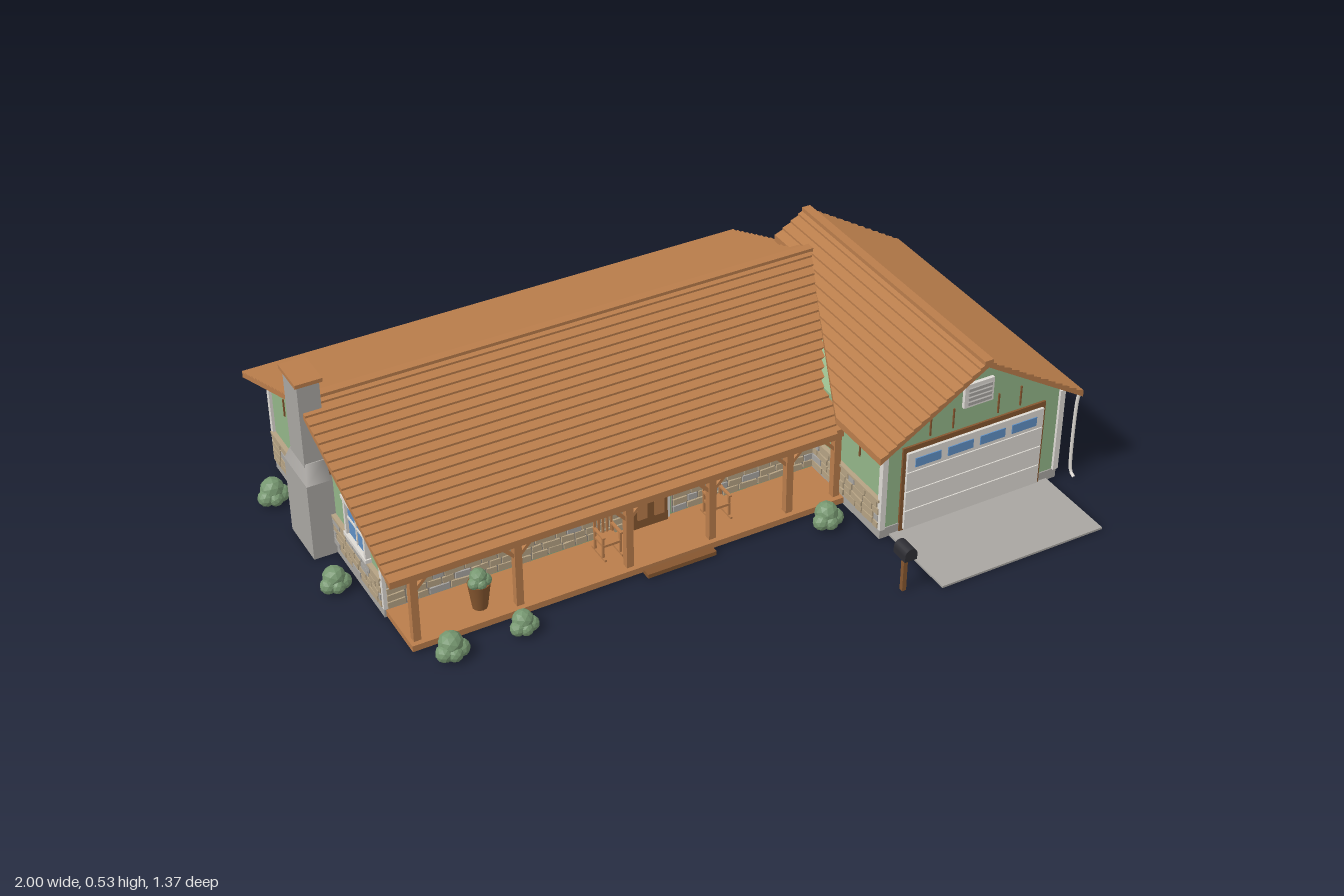
import * as THREE from 'three';
import { mergeGeometries } from 'three/addons/utils/BufferGeometryUtils.js';

const mat = (name, color, flatShading = false) => {
  const m = new THREE.MeshStandardMaterial({ color, flatShading });
  m.name = name;
  return m;
};

export function createModel() {
  const M = {
    wood: mat('cedar wood', 0xb97d4b), green: mat('green siding', 0x93b588),
    concrete: mat('concrete', 0xa8a5a1), white: mat('white trim', 0xdedad4),
    glass: mat('window glass', 0x5f8fc4), stone: mat('tan stone', 0xb5a283),
    mortar: mat('grey mortar', 0x938a80), dark: mat('charcoal', 0x2d2d33),
    leaf: mat('foliage', 0x769770, true), brown: mat('dark wood', 0x85562f),
  };
  const root = new THREE.Group();
  root.name = 'ranchHouse';
  let seed = 7;
  const rnd = () => (seed = (seed * 16807) % 2147483647) / 2147483647;
  const add = (parent, name, geo, material, x = 0, y = 0, z = 0) => {
    const m = new THREE.Mesh(geo, material);
    m.name = name;
    m.position.set(x, y, z);
    parent.add(m);
    return m;
  };
  const box = (p, name, material, x0, x1, y0, y1, z0, z1) =>
    add(p, name, new THREE.BoxGeometry(x1 - x0, y1 - y0, z1 - z0), material,
      (x0 + x1) / 2, (y0 + y1) / 2, (z0 + z1) / 2);
  const group = (name, x = 0, y = 0, z = 0, ry = 0, parent = root) => {
    const g = new THREE.Group();
    g.name = name;
    g.position.set(x, y, z);
    g.rotation.y = ry;
    parent.add(g);
    return g;
  };

  // Gabled bodies: a pentagon extruded along the ridge
  const gable = (half, base, eave, ridge, len) => {
    const s = new THREE.Shape([[-half, base], [half, base], [half, eave], [0, ridge], [-half, eave]]
      .map(p => new THREE.Vector2(...p)));
    return new THREE.ExtrudeGeometry(s, { depth: len, bevelEnabled: false });
  };
  add(root, 'mainBody', gable(0.36, 0.02, 0.296, 0.432, 1.41), M.green, -0.89, 0, -0.26).rotation.y = Math.PI / 2;
  add(root, 'garageBody', gable(0.275, 0.02, 0.296, 0.464, 0.8), M.green, 0.63, 0, -0.37);
  box(root, 'mainFoundation', M.concrete, -0.895, 0.525, 0, 0.03, -0.625, 0.1);
  box(root, 'garageFoundation', M.concrete, 0.35, 0.91, 0, 0.03, -0.375, 0.433);

  // Roof slopes: overlapping shingle courses from ridge edge (a0-b0) to eave edge (a1-b1)
  const V = (...p) => new THREE.Vector3(...p);
  const slope = (name, a0, b0, a1, b1, n) => {
    const step = 0.006, thick = 0.014, pos = [];
    if (b0.clone().sub(a0).cross(a1.clone().sub(a0)).y > 0) [a0, b0, a1, b1] = [b0, a0, b1, a1];
    const quad = (a, b, c, d) => [a, b, c, a, c, d].forEach(p => pos.push(p.x, p.y, p.z));
    for (let i = 0; i < n; i++) {
      const at = (a, b, k, dy) => a.clone().lerp(b, k / n).add(V(0, dy, 0));
      const ring = [[a0, a1, i, 0], [a0, a1, i + 1, step], [b0, b1, i + 1, step], [b0, b1, i, 0]];
      const t = ring.map(([a, b, k, dy]) => at(a, b, k, dy)).reverse();
      const u = ring.map(([a, b, k]) => at(a, b, k, -thick)).reverse();
      quad(...t);
      quad(u[3], u[2], u[1], u[0]);
      for (let j = 0; j < 4; j++) quad(t[j], u[j], u[(j + 1) % 4], t[(j + 1) % 4]);
    }
    // Turn every face outward if the ring runs clockwise
    const e1 = V(pos[3] - pos[0], pos[4] - pos[1], pos[5] - pos[2]);
    const e2 = V(pos[6] - pos[0], pos[7] - pos[1], pos[8] - pos[2]);
    if (e1.cross(e2).y < 0)
      for (let k = 0; k < pos.length; k += 9)
        for (let c = 0; c < 3; c++) [pos[k + 3 + c], pos[k + 6 + c]] = [pos[k + 6 + c], pos[k + 3 + c]];
    const g = new THREE.BufferGeometry();
    g.setAttribute('position', new THREE.Float32BufferAttribute(pos, 3));
    g.computeVertexNormals();
    add(root, name, g, M.wood);
  };
  const my = 0.446, gy = 0.48, ey = 0.285;
  slope('mainRoofFront', V(-0.94, my, -0.27), V(0.56, my, -0.27), V(-0.94, 0.24, 0.27), V(0.315, 0.24, 0.27), 20);
  slope('mainRoofBack', V(-0.94, my, -0.27), V(0.56, my, -0.27), V(-0.94, ey, -0.685), V(0.56, ey, -0.685), 16);
  slope('garageRoofRight', V(0.63, gy, 0.47), V(0.63, gy, -0.41), V(0.945, ey, 0.47), V(0.945, ey, -0.41), 13);
  slope('garageRoofLeftUpper', V(0.63, gy, 0.47), V(0.63, gy, -0.41), V(0.53, 0.418, 0.47), V(0.53, 0.418, -0.41), 4);
  slope('garageRoofLeftLower', V(0.53, 0.418, 0.47), V(0.53, 0.418, -0.21), V(0.315, ey, 0.47), V(0.315, ey, 0.26), 9);
  box(root, 'mainRidgeCap', M.wood, -0.94, 0.56, 0.442, 0.453, -0.283, -0.257);
  box(root, 'garageRidgeCap', M.wood, 0.617, 0.643, 0.474, 0.487, -0.41, 0.47);

  // Window in a wall's local frame: x along the wall, z outward
  const windowAt = (p, x, y, w, h, cols = 2) => {
    const g = group('window', x, y, 0, 0, p), a = w / 2, b = h / 2, t = 0.011;
    box(g, 'glass', M.glass, -a, a, -b, b, 0, 0.006);
    for (const s of [-1, 1]) {
      box(g, 'jamb', M.white, s * a - t / 2, s * a + t / 2, -b, b, 0, 0.014);
      box(g, 'rail', M.white, -a - 0.01, a + 0.01, s * b - t / 2, s * b + t / 2, 0, 0.017);
    }
    for (let i = 1; i < cols; i++) {
      const u = -a + w * i / cols;
      box(g, 'mullion', M.white, u - 0.003, u + 0.003, -b, b, 0, 0.009);
    }
    box(g, 'crossBar', M.white, -a, a, -0.003, 0.003, 0, 0.009);
  };

  // Wall dressing: stone wainscot, battens and windows
  const dressWall = (name, x, z, ry, len, windows = [], gap = null) => {
    const g = group(name, x, 0, z, ry), half = len / 2, stones = [], greys = [];
    const spans = gap ? [[-half, gap[0]], [gap[1], half]] : [[-half, half]];
    for (const [s, e] of spans) {
      box(g, 'wainscot', M.mortar, s, e, 0.03, 0.118, -0.004, 0.006);
      box(g, 'wainscotCap', M.stone, s, e, 0.117, 0.124, -0.004, 0.013);
      for (let r = 0; r < 4; r++)
        for (let u = s; u < e - 0.012;) {
          const w = Math.min(0.03 + rnd() * 0.03, e - u);
          const b = new THREE.BoxGeometry(w - 0.005, 0.018, 0.008 + rnd() * 0.004);
          b.rotateZ((rnd() - 0.5) * 0.16);
          b.translate(u + w / 2, 0.042 + r * 0.0215, 0.006);
          (rnd() < 0.82 ? stones : greys).push(b);
          u += w;
        }
    }
    add(g, 'stones', mergeGeometries(stones), M.stone);
    if (greys.length) add(g, 'greyStones', mergeGeometries(greys), M.concrete);
    const n = Math.max(2, Math.round(len / 0.1));
    for (let i = 1; i < n; i++) {
      const u = -half + len * i / n;
      if (windows.some(w => Math.abs(w[0] - u) < w[1] / 2 + 0.015) || (gap && u > gap[0] && u < gap[1])) continue;
      box(g, 'batten', M.brown, u - 0.002, u + 0.002, 0.16 + rnd() * 0.08, 0.285, 0, 0.004);
    }
    for (const [u, w, cols] of windows) windowAt(g, u, 0.187, w, 0.115, cols);
  };
  const Q = Math.PI / 2;
  dressWall('backWall', -0.185, -0.62, Math.PI, 1.41, [-0.37, -0.045, 0.245, 0.525].map(u => [u, 0.12, 2]));
  dressWall('leftWall', -0.89, -0.26, -Q, 0.72, [[0.22, 0.12, 2]]);
  dressWall('porchWall', -0.268, 0.1, 0, 1.245, [[-0.482, 0.13, 2], [-0.2, 0.22, 3], [0.388, 0.12, 2]], [0.05, 0.186]);
  dressWall('mainRightWall', 0.52, -0.495, Q, 0.25);
  dressWall('garageRightWall', 0.905, 0.03, Q, 0.8, [[-0.145, 0.125, 2], [0.16, 0.125, 2]]);
  dressWall('garageBackWall', 0.712, -0.37, Math.PI, 0.386);
  dressWall('garageLeftWall', 0.355, 0.265, -Q, 0.33);
  for (const [x, z] of [[0.905, 0.43], [0.355, 0.43], [0.905, -0.37], [0.52, -0.62], [-0.89, -0.62], [-0.89, 0.1]])
    box(root, 'cornerBoard', M.white, x - 0.008, x + 0.008, 0.03, 0.285, z - 0.008, z + 0.008);

  // Garage front: sectional door, vent and battens
  const front = group('garageFront', 0.63, 0, 0.43);
  box(front, 'doorFrame', M.brown, -0.222, 0.222, 0.005, 0.268, 0, 0.006);
  for (let i = 0; i < 4; i++) {
    box(front, 'doorPanel', M.white, -0.212, 0.212, 0.012 + i * 0.061, 0.07 + i * 0.061, 0, 0.014);
    const u = (i - 1.5) * 0.1;
    box(front, 'doorWindow', M.glass, u - 0.039, u + 0.039, 0.207, 0.234, 0.01, 0.017);
  }
  box(front, 'ventFrame', M.white, -0.045, 0.045, 0.335, 0.405, 0, 0.01);
  for (let i = 0; i < 4; i++)
    box(front, 'ventSlat', M.concrete, -0.036, 0.036, 0.344 + i * 0.014, 0.353 + i * 0.014, 0, 0.015);
  for (const u of [-0.14, -0.07, 0.07, 0.14])
    box(front, 'batten', M.brown, u - 0.002, u + 0.002, 0.28, 0.34, 0, 0.004);
  box(root, 'driveway', M.concrete, 0.38, 0.88, 0, 0.006, 0.43, 0.68);

  // Chimney with a wide base, shoulder and cap
  box(root, 'chimneyBase', M.concrete, -0.96, -0.885, 0, 0.23, -0.35, -0.2);
  const shoulder = add(root, 'chimneyShoulder', new THREE.CylinderGeometry(0.0707, 0.1061, 0.05, 4, 1).rotateY(Math.PI / 4), M.concrete, -0.9225, 0.255, -0.275);
  shoulder.scale.x = 0.5;
  box(root, 'chimneyStack', M.concrete, -0.95, -0.89, 0.23, 0.518, -0.322, -0.228);
  box(root, 'chimneyCap', M.wood, -0.957, -0.883, 0.515, 0.526, -0.33, -0.22);

  // Porch: deck, step, posts with braces and a beam
  const porch = group('porch');
  box(porch, 'deck', M.wood, -0.89, 0.352, 0.004, 0.022, 0.1, 0.26);
  box(porch, 'step', M.brown, -0.25, -0.05, 0, 0.012, 0.26, 0.285);
  box(porch, 'beam', M.wood, -0.9, 0.35, 0.212, 0.236, 0.225, 0.247);
  for (const x of [-0.87, -0.59, -0.28, -0.04, 0.19, 0.335]) {
    box(porch, 'post', M.wood, x - 0.01, x + 0.01, 0.02, 0.22, 0.226, 0.246);
    for (const s of [-1, 1])
      if (Math.abs(x + s * 0.03 + 0.27) < 0.61)
        add(porch, 'brace', new THREE.BoxGeometry(0.009, 0.06, 0.01), M.wood, x + s * 0.024, 0.192, 0.236).rotation.z = -s * 0.75;
  }
  for (const x of [-0.845, -0.655, 0.04, 0.2])
    box(porch, 'shutter', M.wood, x - 0.02, x + 0.02, 0.127, 0.247, 0.1, 0.109);

  // Front door
  box(porch, 'doorFrame', M.white, -0.21, -0.09, 0.022, 0.215, 0.1, 0.109);
  box(porch, 'door', M.brown, -0.2, -0.1, 0.022, 0.205, 0.1, 0.116);
  for (const x of [-0.175, -0.125]) box(porch, 'doorPanel', M.wood, x - 0.014, x + 0.014, 0.05, 0.18, 0.112, 0.119);
  add(porch, 'doorKnob', new THREE.SphereGeometry(0.005, 8, 6), M.dark, -0.108, 0.105, 0.12);

  // Porch chairs
  for (const x of [-0.3, 0.02]) {
    const c = group('chair', x, 0.022, 0.16, 0, porch);
    box(c, 'seat', M.wood, -0.027, 0.027, 0.038, 0.045, -0.025, 0.027);
    box(c, 'backTop', M.wood, -0.027, 0.027, 0.098, 0.108, -0.027, -0.021);
    for (let i = -2; i <= 2; i++) box(c, 'backSlat', M.wood, i * 0.012 - 0.003, i * 0.012 + 0.003, 0.04, 0.1, -0.026, -0.022);
    for (const s of [-0.025, 0.025]) {
      box(c, 'armrest', M.wood, s - 0.004, s + 0.004, 0.066, 0.071, -0.025, 0.03);
      for (const z of [-0.021, 0.023]) box(c, 'leg', M.wood, s - 0.003, s + 0.003, 0.004, 0.068, z - 0.003, z + 0.003);
      box(c, 'runner', M.wood, s - 0.003, s + 0.003, 0, 0.006, -0.035, 0.037);
    }
  }

  // Rounded, lumpy shrubs
  const bush = (x, y, z, r) => {
    const lumps = [[0, 0.85, 0, 0.75], [0.5, 0.5, 0.2, 0.55], [-0.5, 0.5, 0.25, 0.55], [0.1, 0.5, -0.5, 0.55], [0, 0.45, 0.5, 0.5]];
    const g = mergeGeometries(lumps.map(([a, b, c, s]) =>
      new THREE.IcosahedronGeometry(s * r, 1).rotateY(rnd() * 3).translate(a * r, b * r, c * r)));
    add(root, 'bush', g, M.leaf, x, y, z);
  };
  [[-0.957, -0.49, 0.044], [-0.957, -0.07, 0.041], [-0.81, 0.31, 0.044], [-0.615, 0.31, 0.038],
    [0.265, 0.31, 0.043], [0.955, -0.01, 0.044]].forEach(([x, z, r]) => bush(x, 0, z, r));

  // Potted plant on the porch
  add(root, 'pot', new THREE.CylinderGeometry(0.03, 0.02, 0.075, 12), M.brown, -0.68, 0.06, 0.2);
  bush(-0.68, 0.09, 0.2, 0.031);

  // Downspout at the garage corner
  const path = new THREE.CatmullRomCurve3([[0.942, 0.275, 0.458], [0.94, 0.25, 0.455], [0.94, 0.05, 0.455],
    [0.94, 0.025, 0.46], [0.94, 0.015, 0.475]].map(p => V(...p)));
  add(root, 'downspout', new THREE.TubeGeometry(path, 20, 0.005, 6), M.white);

  // Mailbox on a post
  box(root, 'mailboxPost', M.brown, 0.284, 0.296, 0, 0.12, 0.629, 0.641);
  box(root, 'mailbox', M.dark, 0.272, 0.308, 0.11, 0.128, 0.61, 0.662);
  add(root, 'mailboxLid', new THREE.CylinderGeometry(0.018, 0.018, 0.052, 12, 1, false, -Q, Math.PI).rotateX(-Q), M.dark, 0.29, 0.128, 0.636);
  return root;
}
